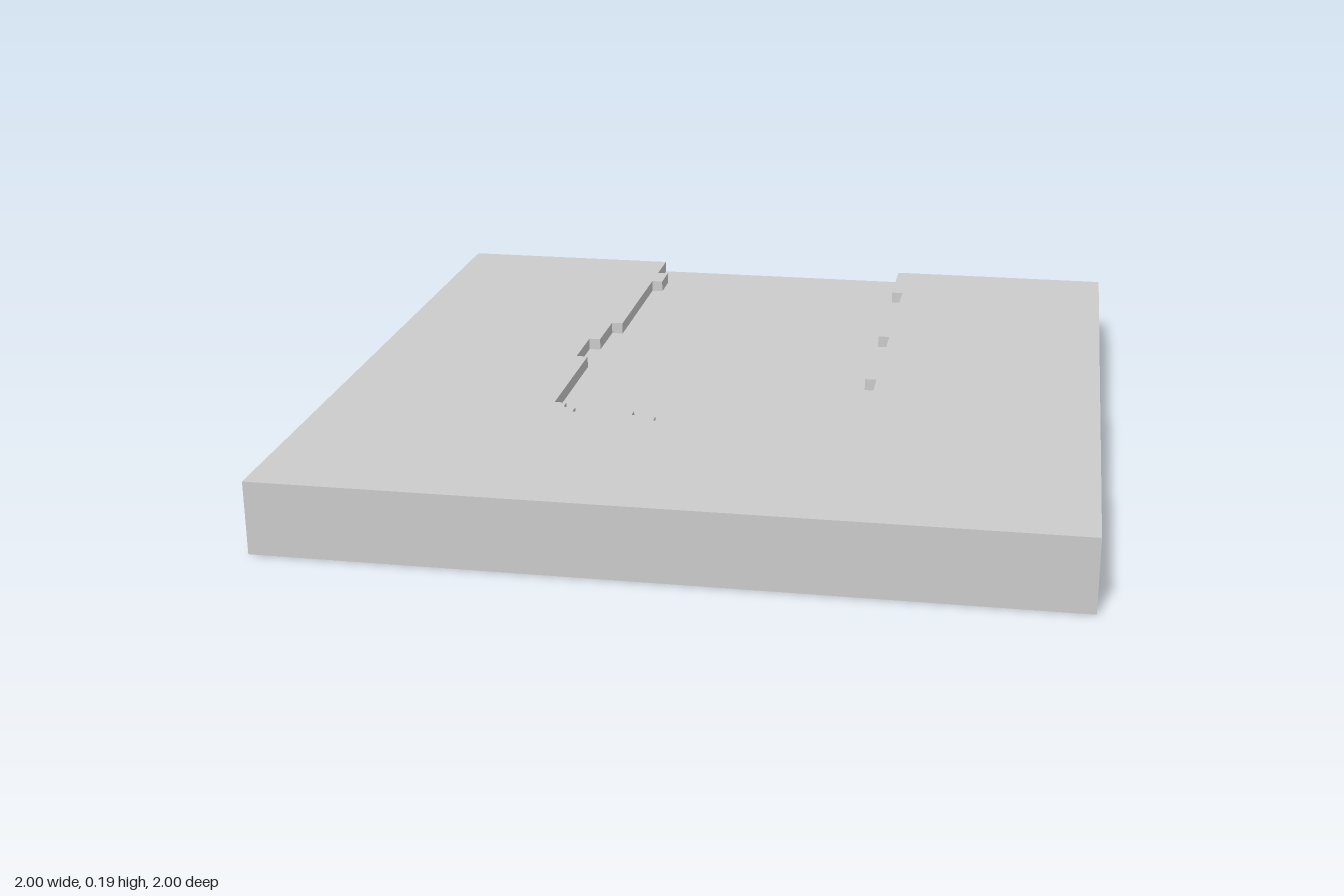
import * as THREE from 'three';

const U = 1 / 32; // grid step of the blocky outline
const HALF = 32, HEIGHT = 6, RECESS = 1;

// Corners of the stepped recess outline in grid steps (x, z), from the back
// right edge, round the front, to the back left edge.
const OUTLINE = [
  [-12, -32], [-12, -28], [-11, -28], [-11, -25], [-12, -25], [-12, -11],
  [-13, -11], [-13, -6], [-14, -6], [-14, -1], [-13, -1], [-13, 11],
  [-12, 11], [-12, 12], [-11, 12], [-11, 13], [-8, 13], [-8, 12],
  [-6, 12], [-6, 13], [-4, 13], [-4, 14], [-1, 14], [-1, 13],
  [11, 13], [11, 12], [12, 12], [12, 11], [13, 11], [13, 1],
  [12, 1], [12, -5], [13, -5], [13, -11], [12, -11], [12, -21],
  [13, -21], [13, -25], [12, -25], [12, -32],
];

export function createModel() {
  const group = new THREE.Group();
  group.name = 'recessedSlab';
  const material = new THREE.MeshStandardMaterial({ color: 0xcccccc, flatShading: true });

  // Solid slab up to the floor of the recess
  const baseHeight = (HEIGHT - RECESS) * U;
  const base = new THREE.Mesh(new THREE.BoxGeometry(2, baseHeight, 2), material);
  base.position.y = baseHeight / 2;
  base.name = 'baseSlab';
  group.add(base);

  // Raised top layer surrounding the recess, open at the back
  const corners = [...OUTLINE, [HALF, -HALF], [HALF, HALF], [-HALF, HALF], [-HALF, -HALF]];
  const shape = new THREE.Shape(corners.map(([x, z]) => new THREE.Vector2(x * U, z * U)));
  const rimGeometry = new THREE.ExtrudeGeometry(shape, { depth: RECESS * U, bevelEnabled: false });
  rimGeometry.rotateX(Math.PI / 2); // shape y becomes z, depth runs downwards
  const rim = new THREE.Mesh(rimGeometry, material);
  rim.position.y = HEIGHT * U;
  rim.name = 'raisedSurround';
  group.add(rim);

  return group;
}
